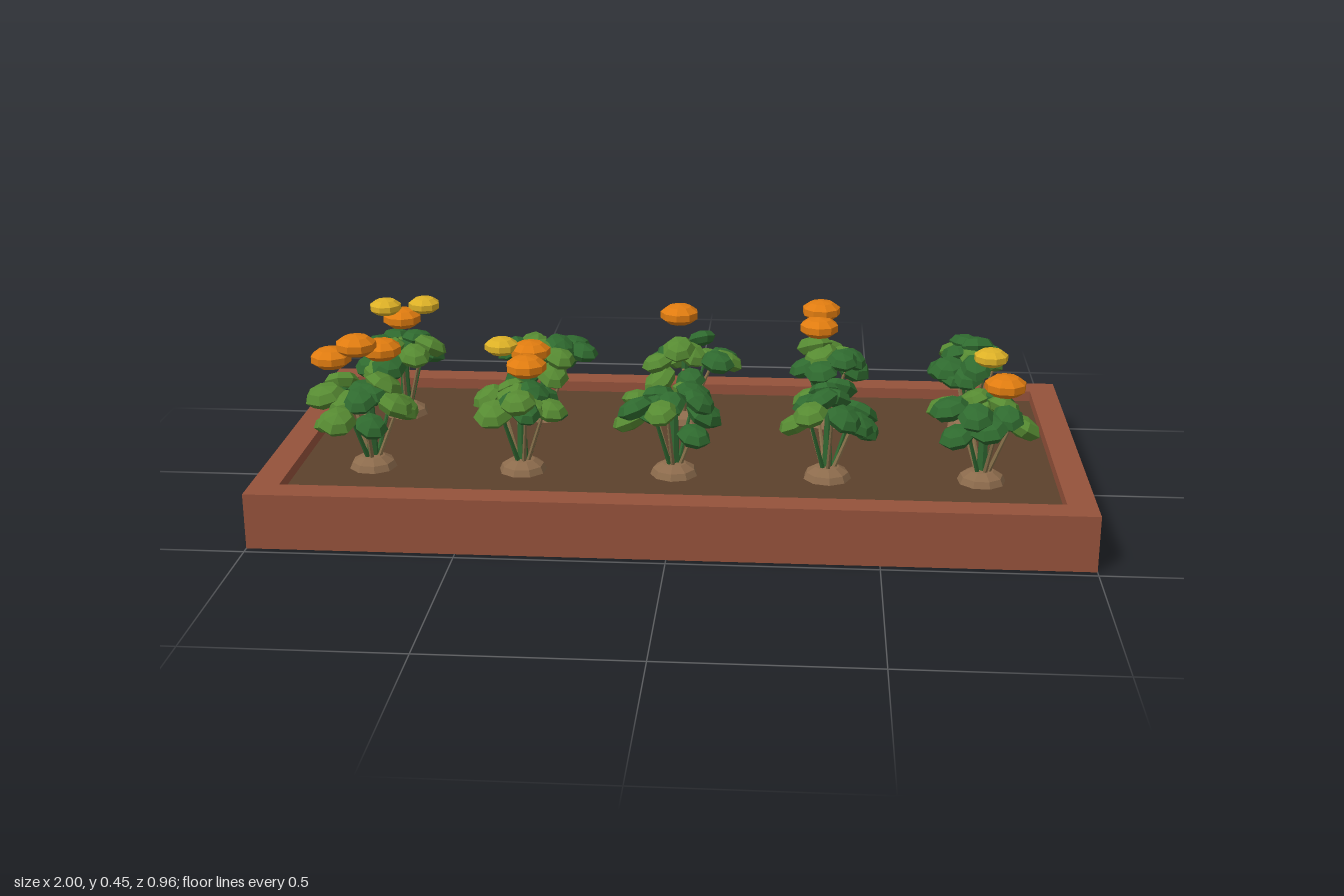
import * as THREE from 'three';

const mat = (name, color) => {
  const m = new THREE.MeshStandardMaterial({ color, flatShading: true });
  m.name = name;
  return m;
};
const M = {
  timber: mat('red timber', 0x95523b),
  soil: mat('dark soil', 0x5c412c),
  mound: mat('dry earth', 0x8c6b4c),
  light: mat('light leaf', 0x568a32),
  dark: mat('dark leaf', 0x2f6a2f),
  stem: mat('green stem', 0x2f6630),
  twig: mat('tan twig', 0x87704a),
  orange: mat('orange petal', 0xe07c10),
  yellow: mat('yellow petal', 0xdcb026),
};

// Shared low-poly shapes
const leafGeo = new THREE.SphereGeometry(1, 7, 4);
const bloomGeo = new THREE.SphereGeometry(1, 9, 5);
const moundGeo = new THREE.SphereGeometry(1, 9, 3, 0, Math.PI * 2, 0, Math.PI / 2);

const SOIL_Y = 0.11;

// Plant: position, foliage offset and half extents, leaf count, blooms [x, y, z, colour]
const plants = [
  { x: -0.75, z: -0.2, c: [0, 0.01], r: [0.12, 0.14], n: 15, blooms: [
    [-0.785, 0.415, -0.165, 'yellow'], [-0.695, 0.405, -0.225, 'yellow'], [-0.75, 0.375, -0.2, 'orange']] },
  { x: -0.375, z: -0.2, c: [0.01, 0], r: [0.145, 0.14], n: 15, blooms: [] },
  { x: 0, z: -0.2, c: [0.01, 0], r: [0.145, 0.13], n: 14, blooms: [[-0.015, 0.4, -0.2, 'orange']] },
  { x: 0.375, z: -0.2, c: [0.0, 0], r: [0.11, 0.135], n: 11, blooms: [
    [0.355, 0.405, -0.245, 'orange'], [0.35, 0.375, -0.19, 'orange']] },
  { x: 0.75, z: -0.2, c: [-0.01, -0.01], r: [0.11, 0.12], n: 13, blooms: [] },
  { x: -0.75, z: 0.2, c: [-0.015, 0.01], r: [0.14, 0.145], n: 15, blooms: [
    [-0.845, 0.385, 0.185, 'orange'], [-0.78, 0.42, 0.19, 'orange'], [-0.73, 0.395, 0.14, 'orange']] },
  { x: -0.375, z: 0.2, c: [0, -0.01], r: [0.135, 0.14], n: 15, blooms: [
    [-0.43, 0.41, 0.14, 'yellow'], [-0.36, 0.395, 0.13, 'orange'], [-0.36, 0.38, 0.205, 'orange']] },
  { x: 0, z: 0.2, c: [-0.015, 0.01], r: [0.135, 0.135], n: 14, blooms: [] },
  { x: 0.375, z: 0.2, c: [0, 0], r: [0.135, 0.14], n: 12, blooms: [] },
  { x: 0.75, z: 0.2, c: [0, 0], r: [0.14, 0.14], n: 14, blooms: [
    [0.76, 0.418, 0.175, 'yellow'], [0.79, 0.372, 0.25, 'orange']] },
];

function seeded(seed) {
  let s = seed * 7919 + 17;
  return () => (s = (s * 16807) % 2147483647) / 2147483647;
}

function add(parent, name, geo, material) {
  const mesh = new THREE.Mesh(geo, material);
  mesh.name = name;
  parent.add(mesh);
  return mesh;
}

// Tapered stalk between two points
function stalk(parent, name, a, b, r0, r1, material) {
  const dir = b.clone().sub(a);
  const mesh = add(parent, name, new THREE.CylinderGeometry(r1, r0, dir.length(), 6), material);
  mesh.position.copy(a).add(b).multiplyScalar(0.5);
  mesh.quaternion.setFromUnitVectors(new THREE.Vector3(0, 1, 0), dir.normalize());
}

function makePlant(p, index) {
  const g = new THREE.Group();
  g.name = 'plant';
  g.position.set(p.x, 0, p.z);
  const rnd = seeded(index + 1);
  const V = (x, y, z) => new THREE.Vector3(x, y, z);

  // Earth mound
  const mound = add(g, 'earthMound', moundGeo, M.mound);
  mound.position.y = SOIL_Y - 0.002;
  mound.scale.set(0.06, 0.036, 0.06);
  mound.rotation.y = rnd() * 3;

  // Main stem and fanned twigs
  stalk(g, 'mainStem', V(0, SOIL_Y, 0), V(0, 0.28, 0), 0.015, 0.01, M.stem);
  for (let i = 0; i < 6; i++) {
    const a = i * Math.PI / 3 + rnd() * 0.7;
    const top = V(Math.cos(a) * p.r[0] * 0.5, 0.27, Math.sin(a) * p.r[1] * 0.5);
    stalk(g, 'twig', V(Math.cos(a) * 0.014, 0.13, Math.sin(a) * 0.014), top, 0.006, 0.004,
      i % 3 === 2 ? M.stem : M.twig);
  }

  // Leaf clumps: an outer drooping ring and a higher inner tier
  const foliage = new THREE.Group();
  foliage.name = 'foliage';
  foliage.position.set(p.c[0], 0, p.c[1]);
  g.add(foliage);
  for (let i = 0; i < p.n; i++) {
    const a = i * 2.39996 + index * 1.3;
    const outer = i % 3 !== 2;
    const d = outer ? 0.82 + rnd() * 0.18 : 0.2 + rnd() * 0.35;
    const y = outer ? 0.235 + rnd() * 0.075 : 0.285 + rnd() * 0.035;
    const size = 0.036 + rnd() * 0.012;
    const pivot = new THREE.Group();
    pivot.name = 'leafPivot';
    pivot.rotation.y = -a;
    pivot.position.set(Math.cos(a) * d * (p.r[0] - 0.04), y, Math.sin(a) * d * (p.r[1] - 0.04));
    foliage.add(pivot);
    const leaf = add(pivot, 'leaf', leafGeo, rnd() < 0.5 ? M.light : M.dark);
    leaf.scale.set(size * 1.1, size * 0.58, size);
    leaf.rotation.set((rnd() - 0.5) * 0.7, 0, -0.15 - rnd() * 0.45);
  }

  // Flattened blooms hovering over the foliage
  for (const [x, y, z, colour] of p.blooms) {
    const bloom = add(g, 'bloom', bloomGeo, M[colour]);
    bloom.position.set(x - p.x, y, z - p.z);
    const r = colour === 'yellow' ? 0.043 : 0.052;
    bloom.scale.set(r, r * 0.53, r);
    bloom.rotation.y = rnd() * 3;
  }
  return g;
}

export function createModel() {
  const model = new THREE.Group();
  model.name = 'flowerBed';

  // Rectangular planter frame
  const rect = (T, w, d) => new T([[-w, -d], [w, -d], [w, d], [-w, d]].map(q => new THREE.Vector2(...q)));
  const shape = rect(THREE.Shape, 1, 0.48);
  shape.holes.push(rect(THREE.Path, 0.93, 0.41));
  const frameGeo = new THREE.ExtrudeGeometry(shape, { depth: 0.138, bevelEnabled: false });
  frameGeo.rotateX(-Math.PI / 2);
  add(model, 'planterFrame', frameGeo, M.timber);

  // Soil bed
  const soil = add(model, 'soilBed', new THREE.BoxGeometry(1.86, SOIL_Y, 0.82), M.soil);
  soil.position.y = SOIL_Y / 2;

  plants.forEach((p, i) => model.add(makePlant(p, i)));
  return model;
}
